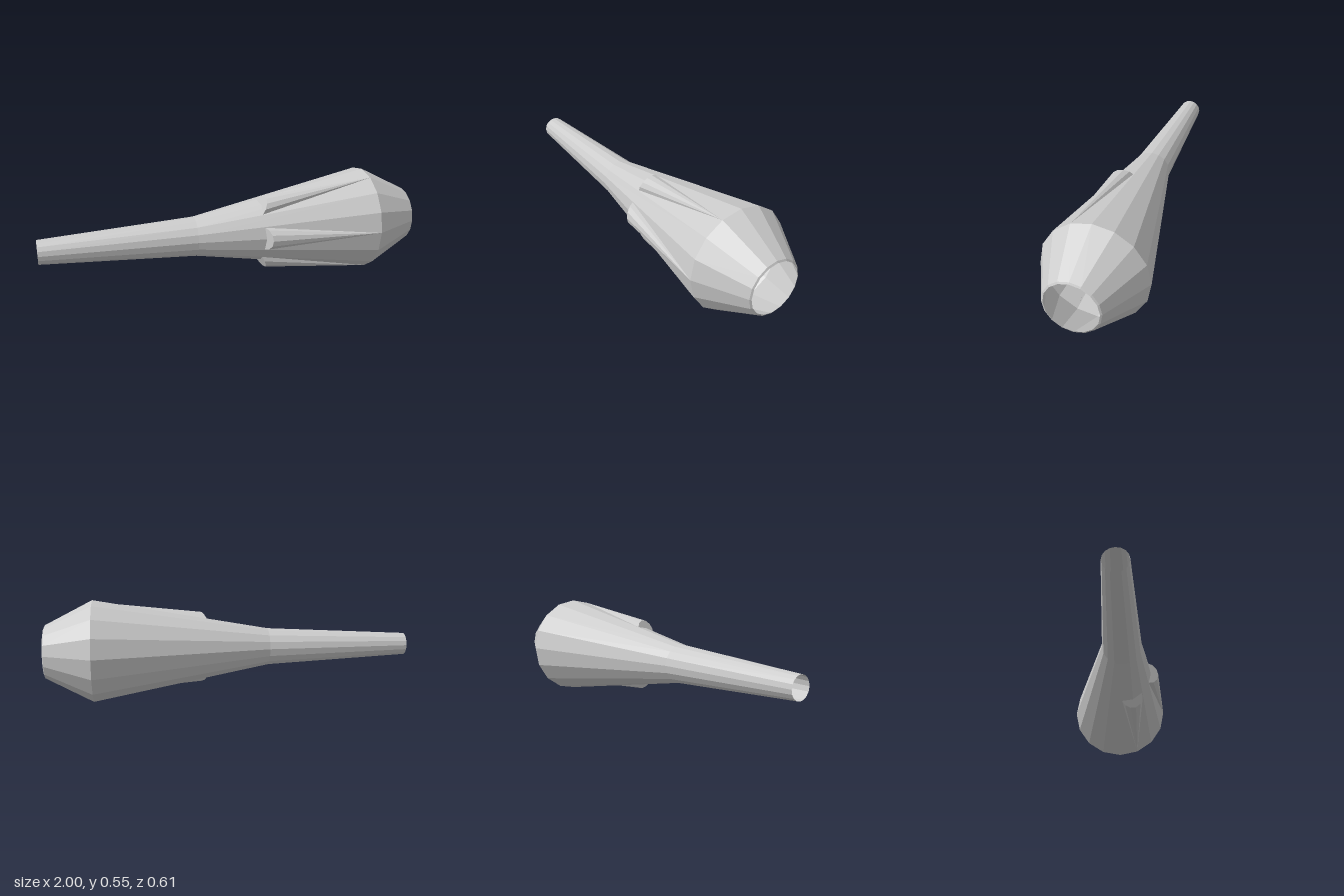
import * as THREE from 'three';

const SIDES = 16;
const TILT = 0.139; // the whole horn leans about 8 degrees in plan
const AXIS = new THREE.Vector3(Math.cos(TILT), 0, -Math.sin(TILT));
const FORWARD = new THREE.Vector3(Math.sin(TILT), 0, Math.cos(TILT));
const UP = new THREE.Vector3(0, 1, 0);
const CENTRE_Y = 0.2745;

// Ring centres and radii: [x, z, radius]
const RINGS = [
  [-0.99, 0.241, 0.061],
  [-0.21, 0.136, 0.102],
  [0.727, -0.035, 0.2745],
  [0.976, -0.063, 0.144],
  [0.981, -0.064, 0.135],
];

// Direction around the axis: 0 faces forward, quarter turn faces up
const radial = (a) => FORWARD.clone().multiplyScalar(Math.cos(a)).addScaledVector(UP, Math.sin(a));

const ringPoint = ([x, z, r], a) => new THREE.Vector3(x, CENTRE_Y, z).addScaledVector(radial(a), r);

function makeMesh(name, points, index) {
  const geometry = new THREE.BufferGeometry().setFromPoints(points);
  geometry.setIndex(index);
  geometry.computeVertexNormals();
  const material = new THREE.MeshStandardMaterial({
    color: 0xcccccc, flatShading: true, side: THREE.DoubleSide,
  });
  const mesh = new THREE.Mesh(geometry, material);
  mesh.name = name;
  return mesh;
}

// Open shell skinned between consecutive rings
function shell(name, rings) {
  const points = [], index = [];
  rings.forEach((ring, i) => {
    for (let j = 0; j < SIDES; j++) {
      points.push(ringPoint(ring, (j / SIDES) * Math.PI * 2));
      if (i === 0) continue;
      const k = (j + 1) % SIDES, lo = (i - 1) * SIDES, hi = i * SIDES;
      index.push(lo + j, hi + j, hi + k, lo + j, hi + k, lo + k);
    }
  });
  return makeMesh(name, points, index);
}

// Half-cone fin: slanted arch at the back, running to a point on the widest ring
function fin(name, angle) {
  const steps = 6;
  const out = radial(angle), across = radial(angle + Math.PI / 2);
  const base = new THREE.Vector3(0.122, CENTRE_Y, 0.0756).addScaledVector(out, 0.148);
  const points = [base, ringPoint(RINGS[2], angle)];
  const index = [];
  for (let i = 0; i <= steps; i++) {
    const a = (i / steps) * Math.PI, s = Math.sin(a);
    points.push(base.clone()
      .addScaledVector(across, Math.cos(a) * 0.06)
      .addScaledVector(out, s * 0.058)
      .addScaledVector(AXIS, s * 0.03));
    if (i < steps) index.push(i + 2, i + 3, 1, 0, i + 3, i + 2);
  }
  return makeMesh(name, points, index);
}

export function createModel() {
  const group = new THREE.Group();
  group.name = 'horn';
  group.add(shell('stemAndBell', RINGS.slice(0, 4)));
  group.add(shell('mouthRim', RINGS.slice(3)));
  const spread = Math.PI * 3 / 8;
  group.add(fin('upperFin', spread), fin('middleFin', 0), fin('lowerFin', -spread));
  return group;
}
